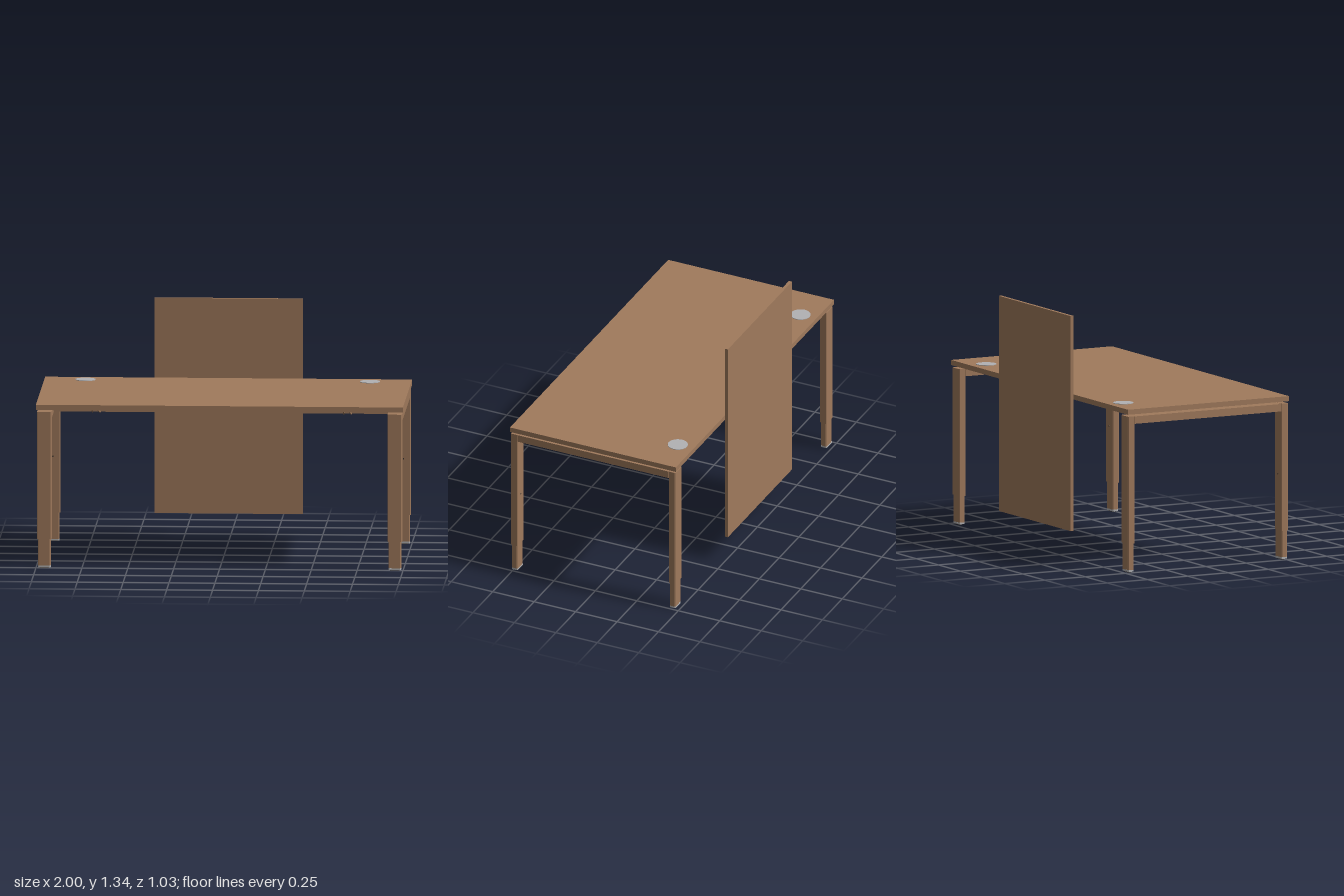
import * as THREE from 'three';

export function createModel() {
  const wood = new THREE.MeshStandardMaterial({ color: 0xa07a5c });
  wood.name = 'brown';
  const grey = new THREE.MeshStandardMaterial({ color: 0xb2b2b4 });
  grey.name = 'grey';
  const dark = new THREE.MeshStandardMaterial({ color: 0x3a332e });
  dark.name = 'dark';

  const desk = new THREE.Group();
  desk.name = 'desk';
  const midZ = 0.016; // middle of the frame, front to back

  function add(name, geometry, material, parent = desk) {
    const mesh = new THREE.Mesh(geometry, material);
    mesh.name = name;
    parent.add(mesh);
    return mesh;
  }
  // Box given by its extents along each axis
  function box(name, [x0, x1], [y0, y1], [z0, z1], material, parent) {
    const mesh = add(name, new THREE.BoxGeometry(x1 - x0, y1 - y0, z1 - z0), material, parent);
    mesh.position.set((x0 + x1) / 2, (y0 + y1) / 2, (z0 + z1) / 2);
    return mesh;
  }
  // Upright bar with small chamfered corners
  function bar(name, w, d, y0, y1, x, z, material, parent) {
    const a = w / 2, b = d / 2, c = 0.005;
    const outline = [[-a + c, -b], [a - c, -b], [a, -b + c], [a, b - c],
      [a - c, b], [-a + c, b], [-a, b - c], [-a, -b + c]];
    const shape = new THREE.Shape(outline.map(([u, v]) => new THREE.Vector2(u, v)));
    const geometry = new THREE.ExtrudeGeometry(shape, { depth: y1 - y0, bevelEnabled: false });
    geometry.rotateX(-Math.PI / 2);
    add(name, geometry, material, parent).position.set(x, y0, z);
  }

  // Worktop and back panel
  box('worktop', [-1, 1], [0.872, 0.9], [-0.485, 0.515], wood);
  box('backPanel', [-0.405, 0.405], [0.152, 1.337], [-0.515, -0.497], wood);

  for (const sx of [-1, 1]) {
    // Cable grommet
    const grommet = add('cableGrommet', new THREE.CylinderGeometry(0.055, 0.055, 0.006, 40), grey);
    grommet.position.set(sx * 0.775, 0.9, -0.39);

    // End frame: a cross beam and two telescopic legs
    const frame = new THREE.Group();
    frame.name = 'endFrame';
    desk.add(frame);
    const x = sx * 0.955;
    box('crossBeam', [x - 0.039, x + 0.039], [0.818, 0.859], [midZ - 0.455, midZ + 0.455], wood, frame);
    for (const sz of [-1, 1]) {
      const z = midZ + sz * 0.476;
      bar('leg', 0.08, 0.042, 0.16, 0.86, x, z, wood, frame);
      bar('legInsert', 0.07, 0.036, 0.014, 0.16, x, z, wood, frame);
      bar('footCap', 0.07, 0.037, 0.004, 0.014, x, z, grey, frame);
      bar('footPad', 0.05, 0.026, 0, 0.004, x, z, dark, frame);
      const screw = add('legScrew', new THREE.CylinderGeometry(0.004, 0.004, 0.002, 12), dark, frame);
      screw.rotation.x = Math.PI / 2;
      screw.position.set(x, 0.47, z - sz * 0.021);
    }
  }

  // Perforated rails running between the end frames
  const railShape = new THREE.Shape([[-0.917, 0.823], [0.917, 0.823], [0.917, 0.858], [-0.917, 0.858]]
    .map(([u, v]) => new THREE.Vector2(u, v)));
  for (let i = -14; i <= 14; i++) {
    railShape.holes.push(new THREE.Path().absarc(i * 0.0625, 0.842, 0.008, 0, Math.PI * 2, true));
  }
  const railGeometry = new THREE.ExtrudeGeometry(railShape, { depth: 0.026, bevelEnabled: false, curveSegments: 8 });

  // Tapered side wall of a bracket, drawn along z and y
  const wallShape = new THREE.Shape([[0.204, 0.869], [0.204, 0.82], [0.24, 0.82], [0.415, 0.862],
    [0.453, 0.866], [0.453, 0.872], [0.23, 0.872]].map(([u, v]) => new THREE.Vector2(u, v)));
  const wallGeometry = new THREE.ExtrudeGeometry(wallShape, { depth: 0.006, bevelEnabled: false });
  wallGeometry.rotateY(-Math.PI / 2);
  wallGeometry.translate(0.003, 0, 0);

  for (const sz of [-1, 1]) {
    const side = new THREE.Group();
    side.name = sz > 0 ? 'frontRailAssembly' : 'backRailAssembly';
    side.position.z = midZ;
    if (sz < 0) side.rotation.y = Math.PI;
    desk.add(side);
    add('perforatedRail', railGeometry, wood, side).position.z = 0.206;
    for (const sx of [-1, 1]) {
      // Support arm: top plate with two walls closing in towards the tip
      const arm = new THREE.Group();
      arm.name = 'supportArm';
      arm.position.x = sx * 0.685;
      side.add(arm);
      for (const k of [-1, 1]) {
        const wall = add('armWall', wallGeometry, wood, arm);
        wall.rotation.y = -k * 0.045;
        wall.position.x = k * 0.031;
      }
      const plate = new THREE.Shape([[-0.025, -0.204], [-0.013, -0.453], [0.013, -0.453], [0.025, -0.204]]
        .map(([u, v]) => new THREE.Vector2(u, v)));
      const plateGeometry = new THREE.ExtrudeGeometry(plate, { depth: 0.006, bevelEnabled: false });
      plateGeometry.rotateX(-Math.PI / 2);
      add('armPlate', plateGeometry, wood, arm).position.y = 0.865;
    }
  }

  return desk;
}
